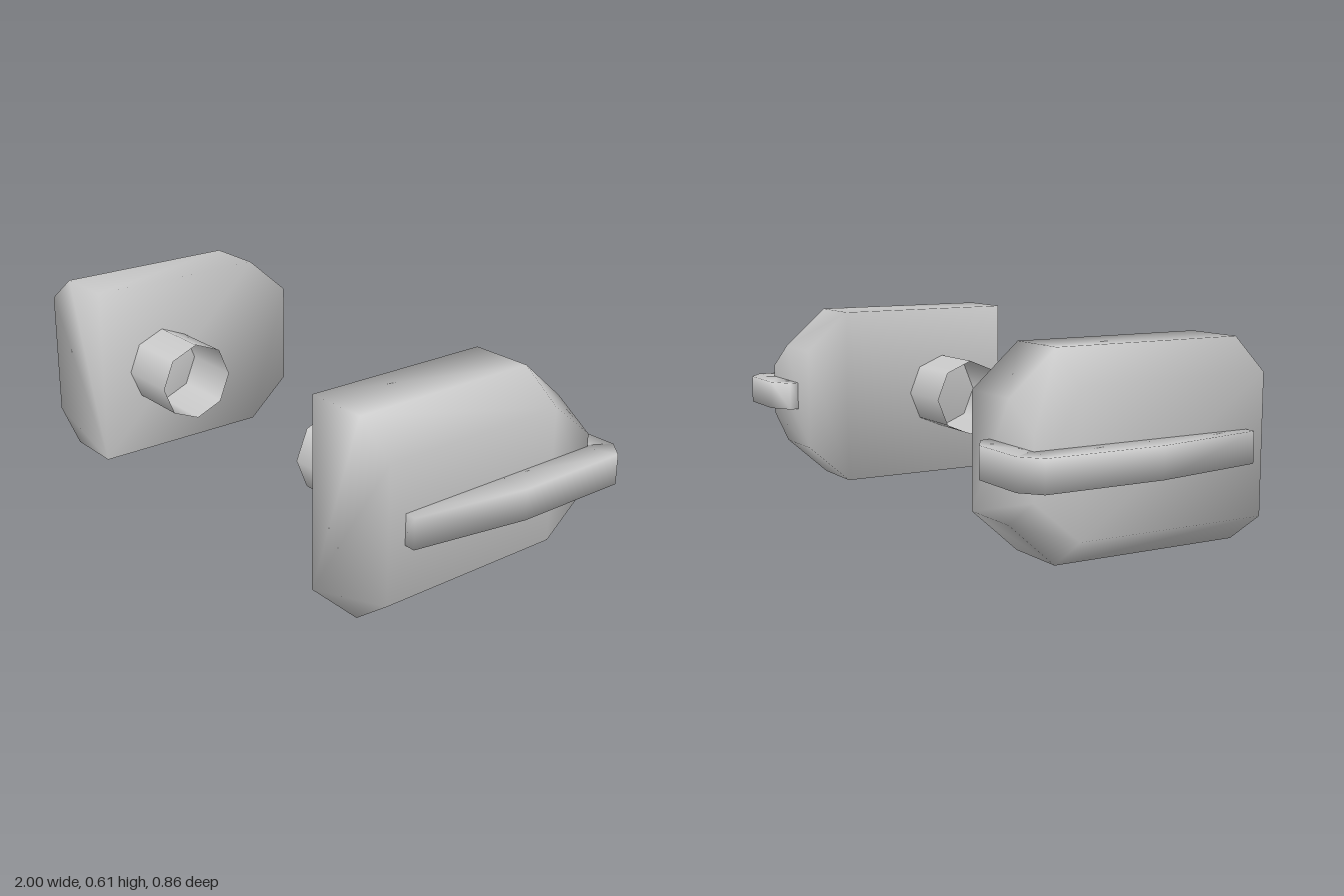
import * as THREE from 'three';

const material = new THREE.MeshStandardMaterial({ color: 0xcccccc });
const openMaterial = new THREE.MeshStandardMaterial({ color: 0xcccccc, side: THREE.DoubleSide });

// Joins counter-clockwise rings (front to back) into a closed, smooth skin; side = -1 mirrors it.
function loft(rings, side) {
  const n = rings[0].length;
  const positions = rings.flat().flatMap(([x, y, z]) => [x * side, y, z]);
  const index = [];
  const tri = (a, b, c) => index.push(...(side > 0 ? [a, b, c] : [a, c, b]));
  for (let i = 0; i < rings.length - 1; i++) {
    for (let j = 0; j < n; j++) {
      const a = i * n + j, b = i * n + (j + 1) % n;
      tri(a, a + n, b);
      tri(b, a + n, b + n);
    }
  }
  const last = (rings.length - 1) * n;
  for (let j = 1; j < n - 1; j++) {
    tri(0, j, j + 1);
    tri(last, last + j + 1, last + j);
  }
  const geometry = new THREE.BufferGeometry();
  geometry.setAttribute('position', new THREE.Float32BufferAttribute(positions, 3));
  geometry.setIndex(index);
  geometry.computeVertexNormals();
  return geometry;
}

// Cross-section of the pod body: flat inside, bevelled on the outer top and bottom.
const bodyRing = (z, bottom, top, bevel) => [
  [0.58, bottom, z], [0.78, bottom, z], [0.905, bottom + bevel, z],
  [0.905, top - bevel, z], [0.78, top, z], [0.58, top, z],
];

// Cross-section of the guard rail between an outer and an inner path point.
const railRing = ([ox, oz, ix, iz]) => [
  [ix, 0.26, iz], [ox, 0.26, oz], [ox, 0.355, oz], [ix, 0.355, iz],
];

const railPath = [
  [0.94, 0.365, 0.89, 0.365], [1, 0, 0.89, 0], [1, -0.38, 0.89, -0.34],
  [0.94, -0.43, 0.88, -0.34], [0.75, -0.43, 0.75, -0.34], [0.68, -0.385, 0.68, -0.34],
];

function createPod(side) {
  const pod = new THREE.Group();
  pod.name = side > 0 ? 'leftPod' : 'rightPod';

  const body = new THREE.Mesh(loft([
    bodyRing(0.425, 0, 0.61, 0.093),
    bodyRing(-0.205, 0, 0.61, 0.093),
    bodyRing(-0.355, 0.132, 0.48, 0.085),
  ], side), material);
  body.name = 'podBody';

  // Rail running along the outer face and wrapping round the back
  const rail = new THREE.Mesh(loft(railPath.map(railRing), side), material);
  rail.name = 'guardRail';

  // Open mounting tube on the inner face
  const tube = new THREE.Mesh(
    new THREE.CylinderGeometry(0.133, 0.133, 0.217, 8, 1, true).rotateZ(Math.PI / 2),
    openMaterial,
  );
  tube.position.set(side * 0.4735, 0.302, 0.182);
  tube.name = 'mountingTube';

  pod.add(body, rail, tube);
  return pod;
}

export function createModel() {
  const model = new THREE.Group();
  model.name = 'podPair';
  for (const side of [1, -1]) model.add(createPod(side));
  return model;
}
